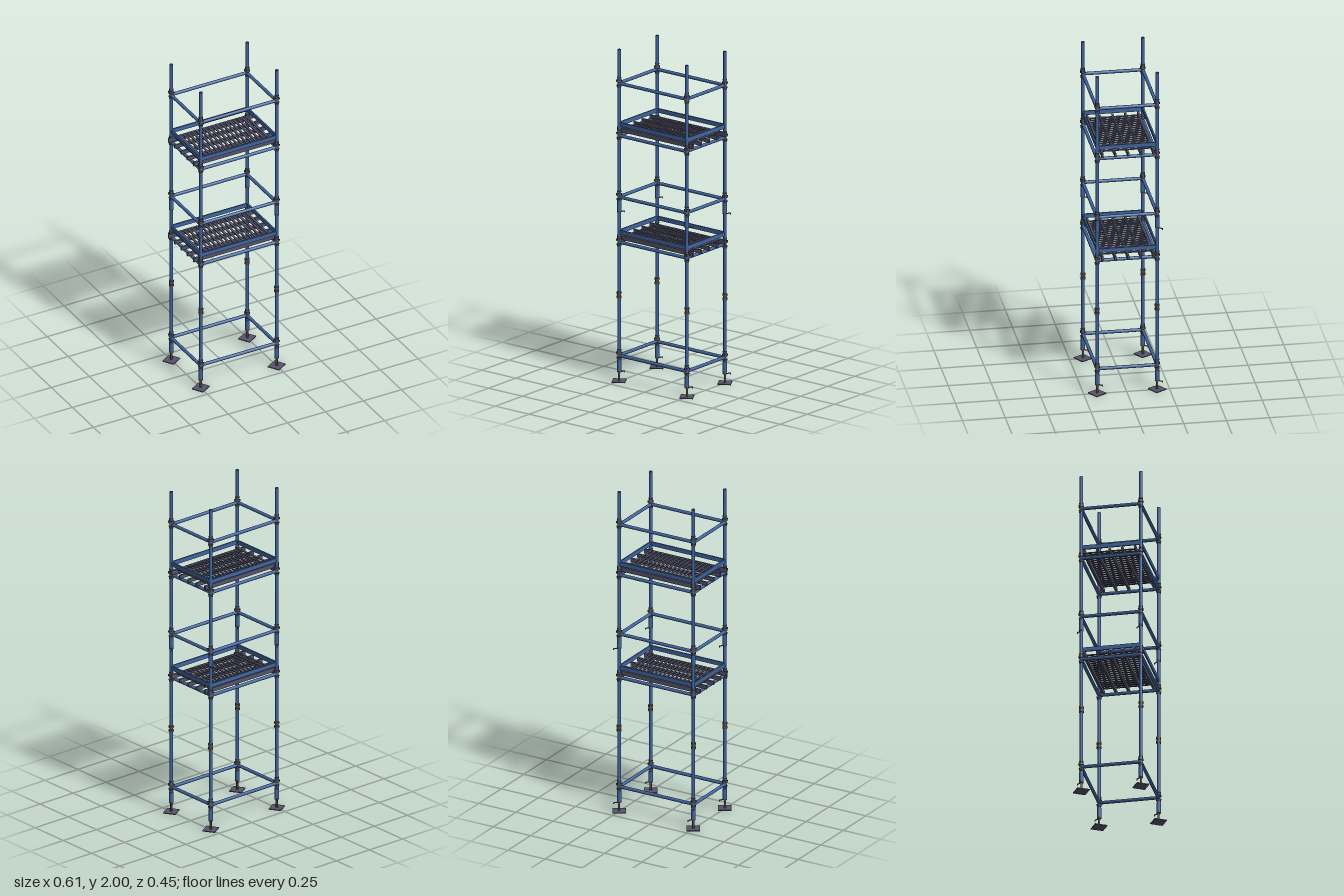
import * as THREE from 'three';

const material = (name, color) => {
  const m = new THREE.MeshStandardMaterial({ color });
  m.name = name;
  return m;
};

export function createModel() {
  const blue = material('blue paint', 0x41659f);
  const steel = material('dark steel', 0x55546a);
  const clampMetal = material('clamp metal', 0x544c4e);
  const model = new THREE.Group();
  model.name = 'scaffoldTower';

  const X = 0.25, Z0 = -0.178, Z1 = 0.172, ZM = (Z0 + Z1) / 2;
  const add = (parent, name, geo, mat, x = 0, y = 0, z = 0) => {
    const mesh = new THREE.Mesh(geo, mat);
    mesh.name = name;
    mesh.position.set(x, y, z);
    parent.add(mesh);
    return mesh;
  };
  const cyl = (r, h, n = 16, rTop = r) => new THREE.CylinderGeometry(rTop, r, h, n);

  // hollow upright with an open top end
  const tubeWall = [[0, 0.07], [0.0098, 0.07], [0.0098, 0.07], [0.0098, 2], [0.0098, 2], [0.0075, 2], [0.0075, 2], [0.0075, 1.95], [0, 1.95]]
    .map(([r, y]) => new THREE.Vector2(r, y));
  const postGeo = new THREE.LatheGeometry(tubeWall, 16);

  // cup clamp: bottom cup, locking ring and four lugs
  function coupler(y) {
    const g = new THREE.Group();
    g.name = 'coupler';
    g.position.y = y;
    add(g, 'bottomCup', cyl(0.0125, 0.014, 16, 0.0155), clampMetal, 0, -0.017);
    add(g, 'lockingRing', cyl(0.0162, 0.014, 16, 0.0135), clampMetal, 0, 0.016);
    add(g, 'topCollar', cyl(0.0125, 0.007), clampMetal, 0, 0.034);
    for (let i = 0; i < 4; i++) {
      const a = Math.PI / 4 + i * Math.PI / 2;
      const lug = add(g, 'lug', new THREE.BoxGeometry(0.006, 0.01, 0.005), clampMetal,
        Math.cos(a) * 0.0145, 0.017, -Math.sin(a) * 0.0145);
      lug.rotation.y = a;
    }
    return g;
  }

  // sleeve with a wing handle under it
  function jackNut(y) {
    const g = new THREE.Group();
    g.name = 'jackNut';
    g.position.y = y;
    add(g, 'sleeve', cyl(0.0128, 0.06), blue, 0, 0.036);
    add(g, 'nut', cyl(0.0135, 0.009, 8), clampMetal, 0, 0.002);
    const arm = new THREE.Group();
    arm.name = 'handle';
    arm.rotation.y = 0.95;
    add(arm, 'handleBar', new THREE.BoxGeometry(0.028, 0.005, 0.004), clampMetal, 0.021, 0, 0);
    add(arm, 'handleTip', new THREE.BoxGeometry(0.004, 0.01, 0.004), clampMetal, 0.034, -0.003, 0);
    g.add(arm);
    return g;
  }

  // four uprights with feet and clamps
  const railLevels = [0.155, 0.838, 1.11, 1.48, 1.795];
  for (const x of [-X, X]) for (const z of [Z0, Z1]) {
    const leg = new THREE.Group();
    leg.name = 'upright';
    leg.position.set(x, 0, z);
    add(leg, 'post', postGeo, blue);
    add(leg, 'basePlate', new THREE.BoxGeometry(0.078, 0.005, 0.075), steel, 0, 0.0025).rotation.y = 0.55;
    add(leg, 'spindle', cyl(0.0065, 0.075, 12), clampMetal, 0, 0.0375);
    for (const y of [0.058, 1.022]) leg.add(jackNut(y));
    for (const y of railLevels) leg.add(coupler(y));
    for (const y of [0.508, 0.533]) add(leg, 'jointCollar', cyl(0.0145, 0.013), clampMetal, 0, y);
    add(leg, 'jointSleeve', cyl(0.0115, 0.03), clampMetal, 0, 0.52);
    model.add(leg);
  }

  // horizontal tubes around each level
  for (const y of railLevels) {
    for (const z of [Z0, Z1])
      add(model, 'longRail', cyl(0.0098, 2 * X), blue, 0, y, z).rotation.z = Math.PI / 2;
    for (const x of [-X, X])
      add(model, 'shortRail', cyl(0.0098, Z1 - Z0), blue, x - 0.003, y, ZM).rotation.x = Math.PI / 2;
  }

  // deck: long beams, cross slats and toe boards
  function platform(y) {
    const g = new THREE.Group();
    g.name = 'platform';
    g.position.y = y;
    for (let i = 0; i < 5; i++) {
      const outer = i === 0 || i === 4;
      add(g, 'beam', new THREE.BoxGeometry(0.558, outer ? 0.026 : 0.022, 0.0115), steel,
        -0.004, outer ? 0 : -0.002, -0.1545 + i * 0.0745);
    }
    for (let i = 0; i < 18; i++)
      add(g, 'slat', new THREE.BoxGeometry(0.0135, 0.005, 0.296), steel, -0.235 + i * 0.0273, 0.01, -0.0055);
    for (const z of [Z0, Z1])
      add(g, 'longToeBoard', new THREE.BoxGeometry(2 * X, 0.025, 0.009), blue, 0, 0.041, z);
    for (const x of [-X, X])
      add(g, 'shortToeBoard', new THREE.BoxGeometry(0.009, 0.025, Z1 - Z0), blue, x, 0.041, ZM);
    return g;
  }
  for (const y of [0.859, 1.508]) model.add(platform(y));

  return model;
}
